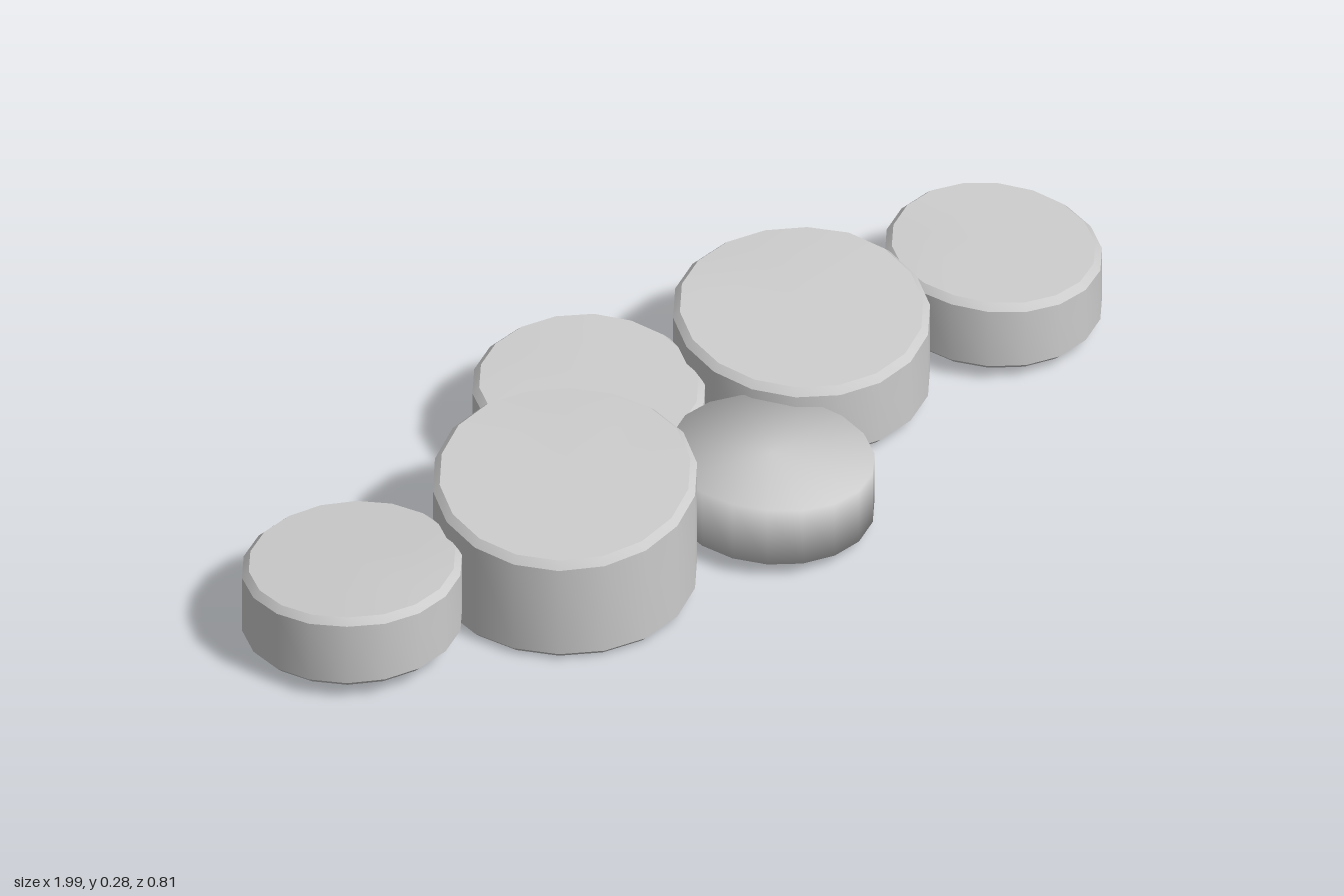
import * as THREE from 'three';
import { mergeVertices, toCreasedNormals } from 'three/addons/utils/BufferGeometryUtils.js';

const SIDES = 18;

// A flat stone disc: top and bottom are tilted by the slopes and levelled off at their limits.
function stone(name, { x, z, r, bottom, top, slopeX, slopeZ, soft }) {
  const h = top - bottom, b = 0.013;
  const profile = soft
    ? [[0, 0], [r, 0], [r, h], [0, h]]
    : [[0, 0], [r * 0.55, 0], [r - b, 0], [r, b], [r, h - b], [r - b, h], [r * 0.55, h], [0, h]];
  let geo = new THREE.LatheGeometry(profile.map(([px, py]) => new THREE.Vector2(px, py)), SIDES);

  const level = 0.57 * r * Math.hypot(slopeX, slopeZ);
  const pos = geo.attributes.position;
  for (let i = 0; i < pos.count; i++) {
    const y = pos.getY(i);
    const tilt = slopeX * pos.getX(i) + slopeZ * pos.getZ(i);
    const shift = y > h / 2
      ? Math.min(0, tilt - level)
      : Math.max(0, 0.6 * (tilt + level));
    pos.setY(i, bottom + y + shift);
  }

  // Weld the seam, then shade smoothly with crisp rims
  geo.deleteAttribute('uv');
  geo.deleteAttribute('normal');
  geo = mergeVertices(geo, 1e-4);
  geo.computeVertexNormals();
  if (!soft) geo = toCreasedNormals(geo, 0.6);

  const mesh = new THREE.Mesh(geo, new THREE.MeshStandardMaterial({ color: 0xcccccc }));
  mesh.name = name;
  mesh.position.set(x, 0, z);
  return mesh;
}

export function createModel() {
  const group = new THREE.Group();
  group.name = 'steppingStones';
  const stones = {
    rightEndStone: { x: -0.79, z: 0.02, r: 0.21, bottom: 0.018, top: 0.187, slopeX: 0.02, slopeZ: 0.07 },
    tallStone: { x: -0.365, z: 0.127, r: 0.252, bottom: 0, top: 0.277, slopeX: 0.1, slopeZ: -0.1 },
    backStone: { x: -0.07, z: -0.185, r: 0.222, bottom: 0.02, top: 0.16, slopeX: -0.02, slopeZ: -0.06 },
    smallFrontStone: { x: 0.07, z: 0.203, r: 0.195, bottom: 0.02, top: 0.162, slopeX: -0.1, slopeZ: -0.03, soft: true },
    wideStone: { x: 0.36, z: -0.085, r: 0.245, bottom: 0.013, top: 0.212, slopeX: 0.02, slopeZ: -0.1 },
    leftEndStone: { x: 0.79, z: -0.05, r: 0.207, bottom: 0.015, top: 0.185, slopeX: -0.08, slopeZ: -0.05 },
  };
  for (const [name, spec] of Object.entries(stones)) group.add(stone(name, spec));
  return group;
}
